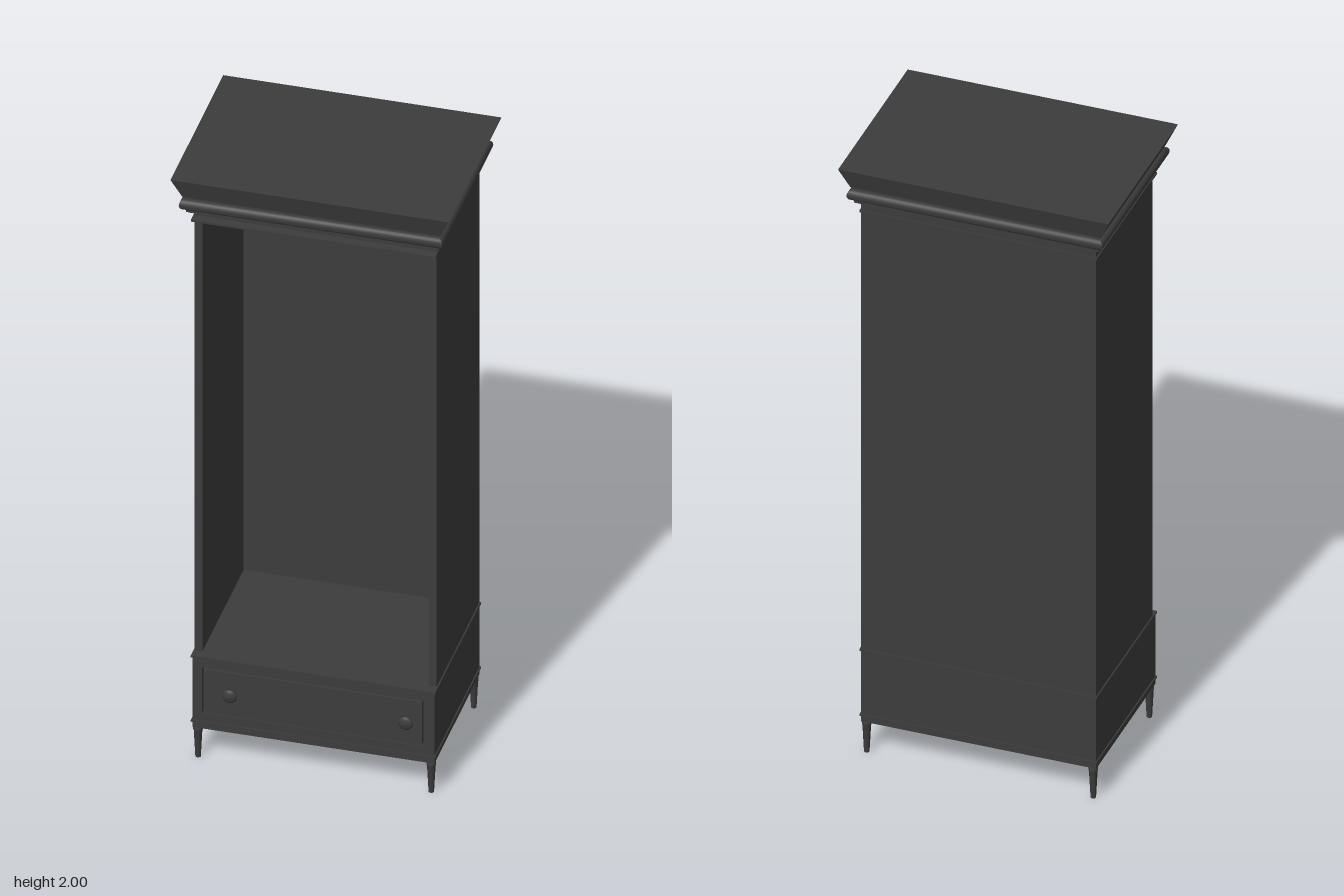
import * as THREE from 'three';
import { toCreasedNormals } from 'three/addons/utils/BufferGeometryUtils.js';

const material = new THREE.MeshStandardMaterial({ color: 0x3c3c3c });

export function createModel() {
  const model = new THREE.Group();

  const add = (name, geometry, x = 0, y = 0, z = 0) => {
    const mesh = new THREE.Mesh(geometry, material);
    mesh.name = name;
    mesh.position.set(x, y, z);
    model.add(mesh);
    return mesh;
  };

  // Box given by its minimum and maximum corners
  const box = (name, x0, x1, y0, y1, z0, z1) =>
    add(name, new THREE.BoxGeometry(x1 - x0, y1 - y0, z1 - z0),
      (x0 + x1) / 2, (y0 + y1) / 2, (z0 + z1) / 2);

  // Mitred moulding: stacked rectangles [halfX, halfZ, y], closed at both ends
  const moulding = (name, rings) => {
    const pos = [], index = [];
    for (const [hx, hz, y] of rings)
      pos.push(-hx, y, hz, hx, y, hz, hx, y, -hz, -hx, y, -hz);
    for (let r = 0; r < rings.length - 1; r++)
      for (let i = 0; i < 4; i++) {
        const a = r * 4 + i, b = r * 4 + (i + 1) % 4;
        index.push(a, b, b + 4, a, b + 4, a + 4);
      }
    const t = (rings.length - 1) * 4;
    index.push(0, 2, 1, 0, 3, 2, t, t + 1, t + 2, t, t + 2, t + 3);
    const geometry = new THREE.BufferGeometry();
    geometry.setAttribute('position', new THREE.Float32BufferAttribute(pos, 3));
    geometry.setIndex(index);
    return add(name, toCreasedNormals(geometry, 0.6));
  };

  // Open cabinet
  for (const s of [-1, 1])
    box(s > 0 ? 'leftSide' : 'rightSide', s > 0 ? 0.337 : -0.36, s > 0 ? 0.36 : -0.337, 0.35, 1.845, -0.24, 0.218);
  box('backPanel', -0.337, 0.337, 0.35, 1.845, -0.24, -0.225);
  box('frieze', -0.36, 0.36, 1.845, 1.885, -0.24, 0.218);
  box('friezeStrip', -0.364, 0.364, 1.842, 1.848, -0.244, 0.246);

  // Drawer base with a framed opening
  box('baseCase', -0.36, 0.36, 0.106, 0.35, -0.24, 0.225);
  const frame = new THREE.Shape([[-0.36, 0.106], [0.36, 0.106], [0.36, 0.35], [-0.36, 0.35]]
    .map(p => new THREE.Vector2(...p)));
  frame.holes.push(new THREE.Path([[-0.331, 0.16], [-0.331, 0.315], [0.331, 0.315], [0.331, 0.16]]
    .map(p => new THREE.Vector2(...p))));
  add('drawerFrame', new THREE.ExtrudeGeometry(frame, { depth: 0.018, bevelEnabled: false }), 0, 0, 0.225);
  box('drawerFront', -0.327, 0.323, 0.164, 0.311, 0.22, 0.245);
  box('upperStrip', -0.364, 0.364, 0.347, 0.353, -0.244, 0.247);
  box('lowerStrip', -0.364, 0.364, 0.126, 0.132, -0.244, 0.247);

  // Drawer knobs
  const knobProfile = [[0.009, 0], [0.009, 0.006], [0.021, 0.009], [0.022, 0.013], [0.018, 0.016], [0.013, 0.019], [0, 0.021]]
    .map(p => new THREE.Vector2(...p));
  for (const x of [-0.246, 0.278]) {
    const knob = add('knob', new THREE.LatheGeometry(knobProfile, 24), x, 0.239, 0.244);
    knob.rotation.x = Math.PI / 2;
  }

  // Tapered legs with a small collar
  const legProfile = [[0, 0], [0.008, 0], [0.0125, 0.09], [0.014, 0.094], [0.014, 0.1], [0.012, 0.106], [0, 0.106]]
    .map(p => new THREE.Vector2(...p));
  for (const x of [-0.347, 0.347])
    for (const z of [-0.228, 0.229])
      add('leg', toCreasedNormals(new THREE.LatheGeometry(legProfile, 16), 0.6), x, 0, z);

  // Cornice: steps, rounded band, then the flared crown
  const rings = [[0.367, 0.25, 1.875], [0.367, 0.25, 1.881], [0.375, 0.258, 1.881], [0.375, 0.258, 1.892]];
  for (let i = 0; i <= 8; i++) {
    const a = -Math.PI / 2 + i * Math.PI / 8, d = 0.015 * Math.cos(a);
    rings.push([0.377 + d, 0.26 + d, 1.91 + 0.018 * Math.sin(a)]);
  }
  rings.push([0.377, 0.26, 1.935], [0.384, 0.264, 1.935], [0.414, 0.284, 2]);
  moulding('cornice', rings);

  return model;
}
